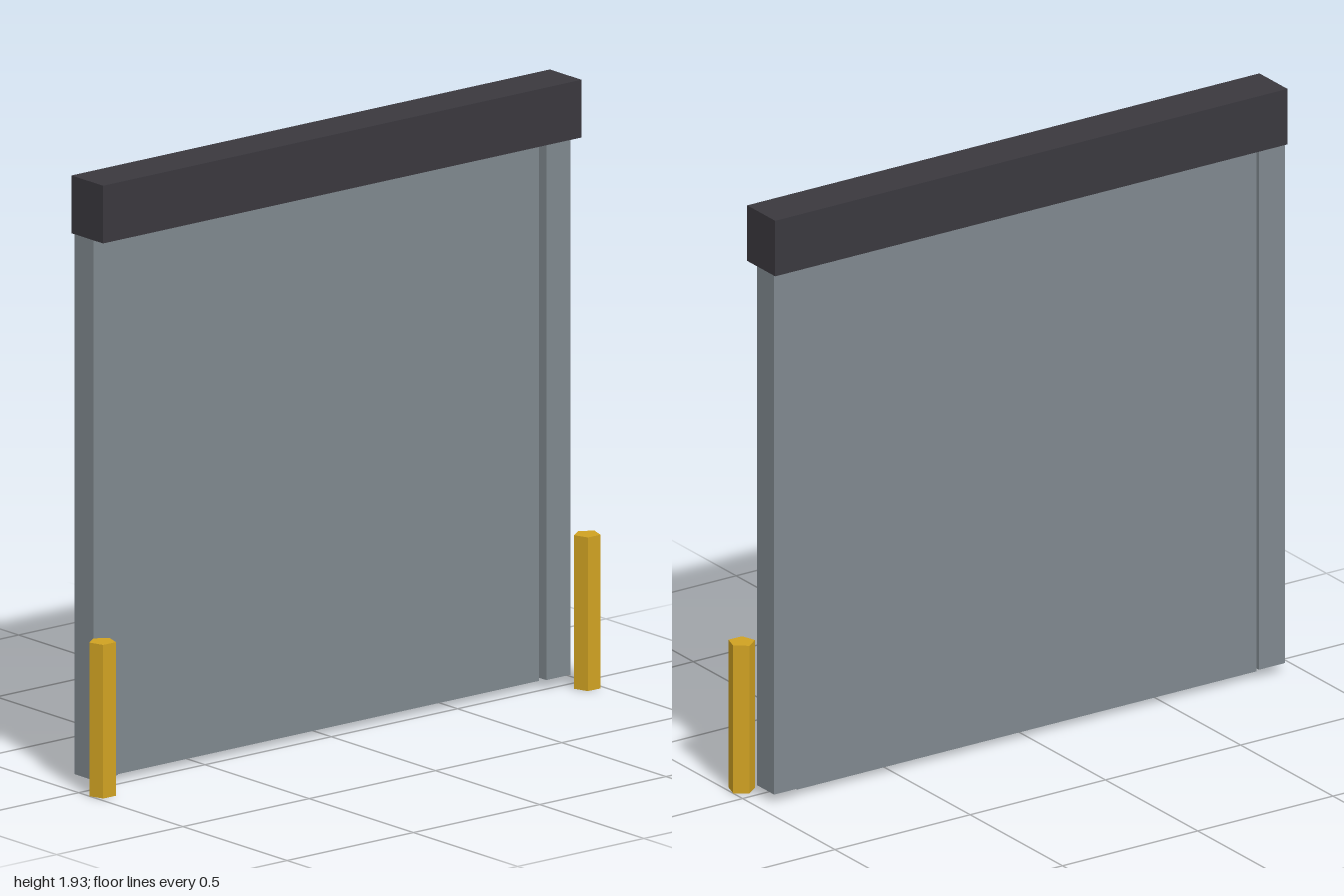
import * as THREE from 'three';

const mat = (name, color) => {
  const m = new THREE.MeshStandardMaterial({ color });
  m.name = name;
  return m;
};

export function createModel() {
  const model = new THREE.Group();
  model.name = 'rollerDoor';
  const steel = mat('greySteel', 0x7f888e);
  const dark = mat('darkHousing', 0x3a383e);
  const yellow = mat('safetyYellow', 0xd0a222);

  // Box given by its lower and upper limits on each axis
  const box = (name, material, [x0, x1], [y0, y1], [z0, z1]) => {
    const mesh = new THREE.Mesh(new THREE.BoxGeometry(x1 - x0, y1 - y0, z1 - z0), material);
    mesh.position.set((x0 + x1) / 2, (y0 + y1) / 2, (z0 + z1) / 2);
    mesh.name = name;
    model.add(mesh);
  };

  // Shutter curtain and the roller housing above it
  box('shutterCurtain', steel, [-0.849, 0.849], [0.02, 1.76], [-0.075, -0.031]);
  box('rollerHousing', dark, [-0.947, 0.947], [1.743, 1.926], [-0.099, 0.053]);

  // Guide rails and five-sided bollards, mirrored
  const bollardShape = new THREE.CylinderGeometry(0.0425, 0.0425, 0.487, 5).toNonIndexed();
  bollardShape.computeVertexNormals();
  for (const [side, s] of [['left', 1], ['right', -1]]) {
    const xs = [s * 0.848, s * 0.944].sort((a, b) => a - b);
    box(side + 'GuideRail', steel, xs, [0.03, 1.75], [-0.089, 0.004]);

    const bollard = new THREE.Mesh(bollardShape, yellow);
    bollard.name = side + 'Bollard';
    bollard.position.set(s * 0.9596, 0.2435, 0.0646);
    bollard.rotation.y = Math.PI;
    model.add(bollard);
  }
  return model;
}
